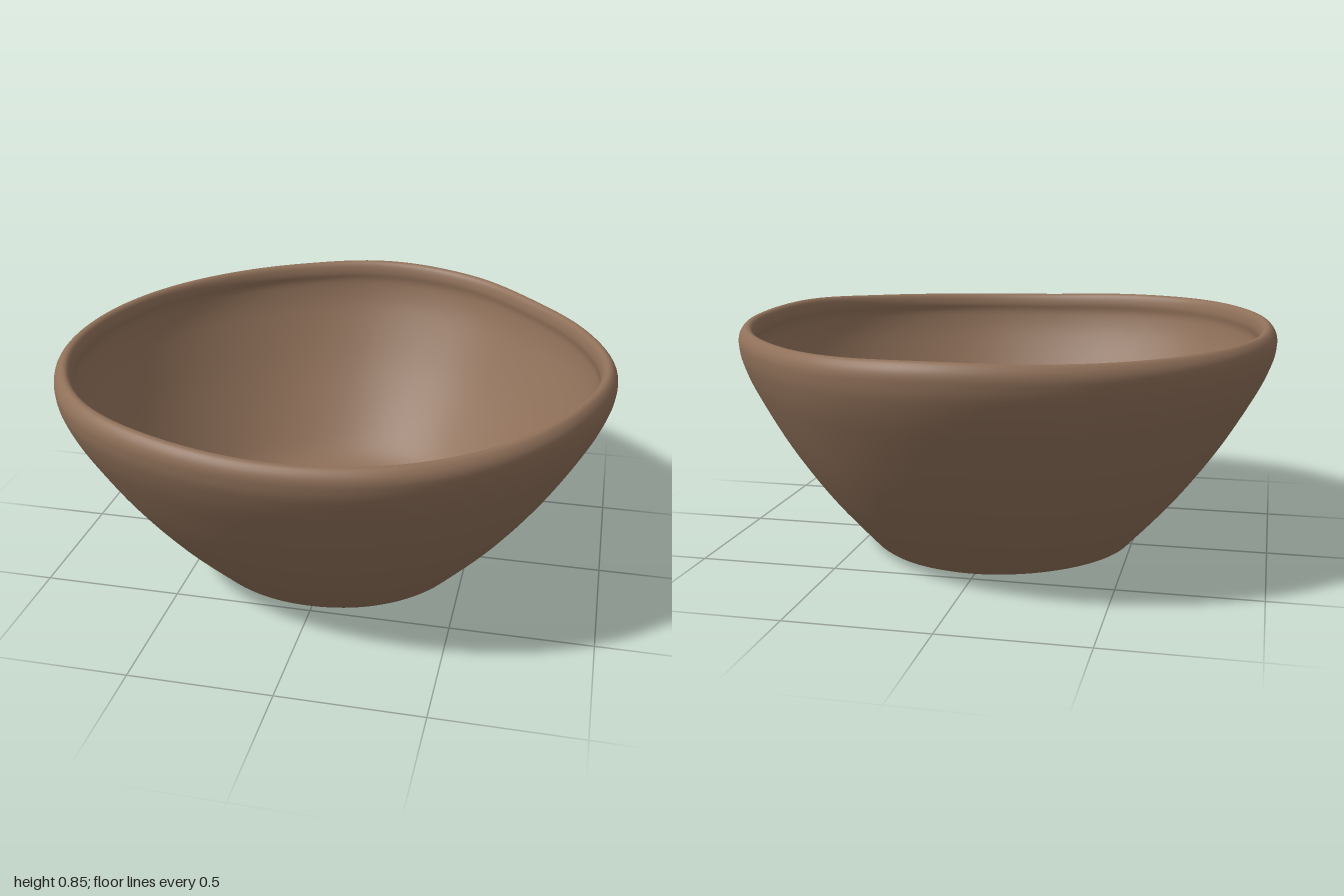
import * as THREE from 'three';
import { mergeVertices } from 'three/addons/utils/BufferGeometryUtils.js';

// Smooth periodic interpolation of evenly spaced values around the bowl
function around(values, angle) {
  const n = values.length;
  const t = ((angle / (Math.PI * 2)) * n + n) % n;
  const i = Math.floor(t), f = t - i;
  const [a, b, c, d] = [-1, 0, 1, 2].map((o) => values[(i + o + n) % n]);
  return b + 0.5 * f * (c - a + f * (2 * a - 5 * b + 4 * c - d + f * (3 * (b - c) + d - a)));
}

// Hand-shaped irregularity of the rim, from +x turning towards +z
const RIM_RADIUS = [0.995, 1.005, 1.008, 1.005, 0.998, 1.016, 1.04, 1.022, 1, 0.985, 0.98, 0.985, 1, 0.985, 0.945, 0.96];
const RIM_HEIGHT = [0.832, 0.845, 0.83, 0.82, 0.82, 0.835, 0.842, 0.84, 0.832, 0.83, 0.83, 0.835, 0.845, 0.835, 0.825, 0.825];

// Profile: outer wall up over the lip, then down the inside
const PROFILE = [[0.5, 0.02], [0.665, 0.2], [0.815, 0.4], [0.935, 0.6], [0.985, 0.71], [0.998, 0.77], [0.995, 0.805],
  [0.978, 0.83], [0.96, 0.835], [0.945, 0.822], [0.937, 0.79], [0.938, 0.74], [0.9, 0.63], [0.79, 0.43],
  [0.65, 0.24], [0.53, 0.12], [0.4, 0.075], [0.2, 0.062], [0, 0.06]];

export function createModel() {
  const model = new THREE.Group();
  const clay = new THREE.MeshStandardMaterial({ color: 0x8f7059 });
  clay.name = 'brown clay';

  const wall = new THREE.SplineCurve(PROFILE.map(([r, y]) => new THREE.Vector2(r, y)));
  const foot = [[0, 0], [0.42, 0], [0.44, 0.001], [0.475, 0.01]].map(([r, y]) => new THREE.Vector2(r, y));
  const profile = [...foot, ...wall.getPoints(90)];
  profile[profile.length - 1].x = 0;

  // Push the turned shape out of round, most of all at the rim
  let geometry = new THREE.LatheGeometry(profile, 128);
  const p = geometry.attributes.position;
  for (let i = 0; i < p.count; i++) {
    const x = p.getX(i), y = p.getY(i), z = p.getZ(i);
    const angle = Math.atan2(z, x);
    const fade = 0.5 + 0.5 * Math.min(1, y / 0.75);
    const scale = 1 + (around(RIM_RADIUS, angle) - 1) * fade;
    const lift = (around(RIM_HEIGHT, angle) - 0.835) * Math.pow(y / 0.835, 4);
    p.setXYZ(i, x * scale, y + lift, z * scale);
  }
  // Weld the seam so the shading stays smooth all round
  geometry.deleteAttribute('uv');
  geometry.deleteAttribute('normal');
  geometry = mergeVertices(geometry, 1e-5);
  geometry.computeVertexNormals();

  const bowl = new THREE.Mesh(geometry, clay);
  bowl.name = 'bowl';
  model.add(bowl);
  return model;
}
